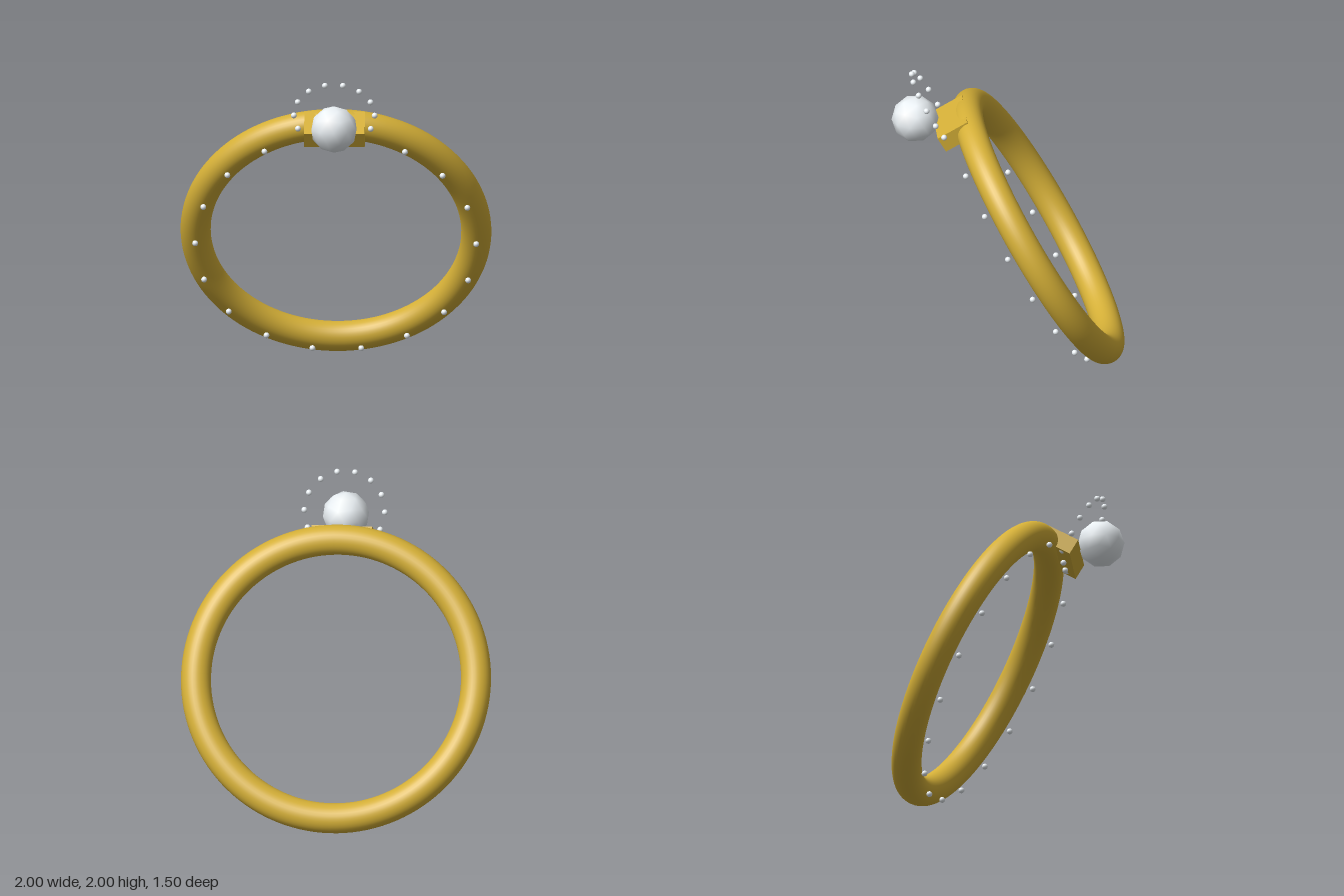
import * as THREE from 'three';

const gold = new THREE.MeshStandardMaterial({ color: 0xd4af37 });
const pearl = new THREE.MeshStandardMaterial({ color: 0xeaf0f4 });
const TILT = Math.PI / 6;

function addMesh(parent, name, geometry, material, x = 0, y = 0, z = 0) {
  const mesh = new THREE.Mesh(geometry, material);
  mesh.name = name;
  mesh.position.set(x, y, z);
  parent.add(mesh);
  return mesh;
}

// Evenly spaced beads on a circle, placed half a step off the vertical
function beadCircle(name, count, radius, y, z) {
  const circle = new THREE.Group();
  circle.name = name;
  circle.position.set(0, y, z);
  const bead = new THREE.SphereGeometry(0.019, 16, 12);
  for (let i = 0; i < count; i++) {
    const a = ((i + 0.5) / count) * Math.PI * 2;
    addMesh(circle, 'bead', bead, pearl, radius * Math.sin(a), radius * Math.cos(a), 0);
  }
  return circle;
}

export function createModel() {
  const model = new THREE.Group();
  model.name = 'ring';

  // Everything leans forward with the band
  const tilted = new THREE.Group();
  tilted.name = 'tiltedRing';
  tilted.position.set(0, 0.88, -0.196);
  tilted.rotation.x = TILT;
  model.add(tilted);

  // Band and the block that carries the gem
  addMesh(tilted, 'band', new THREE.TorusGeometry(0.903, 0.097, 32, 128), gold);
  addMesh(tilted, 'setting', new THREE.BoxGeometry(0.39, 0.11, 0.22), gold, 0, 0.936, 0.09);

  // Small beads along the band and around the gem
  tilted.add(beadCircle('bandBeads', 18, 0.904, 0, 0.135));
  tilted.add(beadCircle('haloBeads', 14, 0.26, 1.108, 0.153));

  // Main gem, a coarse ball with one corner pointing straight up
  const ball = new THREE.IcosahedronGeometry(0.152, 1);
  ball.rotateZ(-Math.atan(2 / (1 + Math.sqrt(5))));
  addMesh(model, 'gem', ball, pearl, 0, 1.693, 0.601);

  return model;
}
